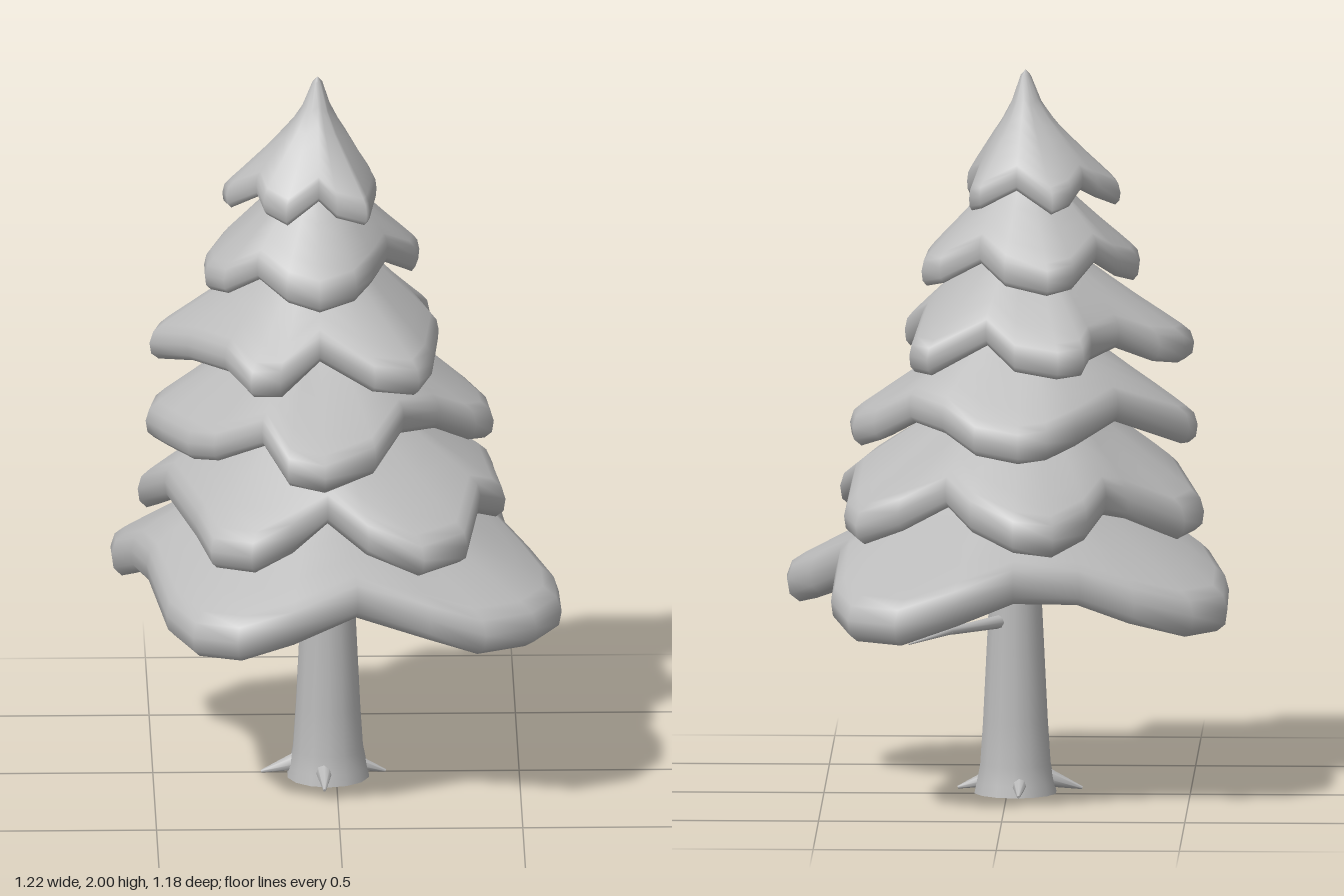
import * as THREE from 'three';

const bark = new THREE.MeshStandardMaterial({ color: 0xbababa });
bark.name = 'plain grey';
const trunkGrey = new THREE.MeshStandardMaterial({ color: 0xbababa, side: THREE.DoubleSide });
trunkGrey.name = 'plain grey open';

const CENTRE = { x: -0.05, z: 0.005 };

// Upper surface of a tier: [fraction of rim radius, fraction of height above rim]
const UPPER = [[0, 1], [0.07, 0.95], [0.2, 0.72], [0.36, 0.55], [0.52, 0.42], [0.68, 0.29], [0.82, 0.18], [0.93, 0.09], [0.98, 0.04]];
// Underside: [fraction of rim radius, blend from rim bottom to inner ceiling]
const UNDER = [[0.95, 0], [0.88, 0.08], [0.7, 0.4], [0.4, 0.8], [0, 1]];

// One skirt of foliage. Rim points are [x, z, lift] in hundredths (lift 0 = drooping lobe, 1 = raised notch).
function makeTier(name, low, high, top, thick, rim) {
  const edge = rim.map(([x, z, lift]) => {
    const dx = x / 100 - CENTRE.x, dz = z / 100 - CENTRE.z;
    const r = Math.hypot(dx, dz);
    return { r, cos: dx / r, sin: dz / r, y: low + (high - low) * lift };
  });
  const count = edge.length;
  const mean = edge.reduce((sum, p) => sum + p.r, 0) / count;

  // Rings grow rounder towards the middle
  const pos = [];
  const ring = (f, height) => edge.forEach(p => {
    const r = f * THREE.MathUtils.lerp(mean, p.r, Math.sqrt(f));
    pos.push(CENTRE.x + p.cos * r, height(p.y), CENTRE.z + p.sin * r);
  });
  UPPER.forEach(([f, h]) => ring(f, y => THREE.MathUtils.lerp(y + thick, top, h)));
  ring(1, y => y + thick * 0.75);
  ring(0.99, y => y + thick * 0.25);
  UNDER.forEach(([f, k]) => ring(f, y => THREE.MathUtils.lerp(y, low + 0.16, k)));

  const index = [];
  const rows = pos.length / 3 / count;
  for (let j = 0; j < rows - 1; j++) {
    for (let i = 0; i < count; i++) {
      const a = j * count + i, b = j * count + (i + 1) % count;
      if (j > 0) index.push(a, b, a + count);
      if (j < rows - 2) index.push(b, b + count, a + count);
    }
  }
  const geo = new THREE.BufferGeometry();
  geo.setAttribute('position', new THREE.Float32BufferAttribute(pos, 3));
  geo.setIndex(index);
  geo.computeVertexNormals();
  const mesh = new THREE.Mesh(geo, bark);
  mesh.name = name;
  return mesh;
}

// Tapered spike running from a base point to a tip
function makeSpike(name, from, to, radius, tipRadius) {
  const dir = to.clone().sub(from);
  const mesh = new THREE.Mesh(new THREE.CylinderGeometry(tipRadius, radius, dir.length(), 8), bark);
  mesh.name = name;
  mesh.position.copy(from).add(to).multiplyScalar(0.5);
  mesh.quaternion.setFromUnitVectors(new THREE.Vector3(0, 1, 0), dir.normalize());
  return mesh;
}

export function createModel() {
  const tree = new THREE.Group();
  tree.name = 'pineTree';

  // Trunk with a flared foot, open underneath
  const profile = [[0.114, 0], [0.108, 0.03], [0.098, 0.08], [0.09, 0.2], [0.08, 0.4], [0.07, 0.6], [0.06, 0.8]];
  const trunk = new THREE.Mesh(new THREE.LatheGeometry(profile.map(p => new THREE.Vector2(...p)), 14), trunkGrey);
  trunk.name = 'trunk';
  trunk.position.set(-0.022, 0, 0.025);
  tree.add(trunk);

  // Four root spikes around the foot
  for (let i = 0; i < 4; i++) {
    const a = i * Math.PI / 2;
    const at = (r, y) => new THREE.Vector3(-0.035 + Math.cos(a) * r, y, 0.03 + Math.sin(a) * r);
    tree.add(makeSpike('root', at(0.07, 0.042), at(0.17, 0.012), 0.027, 0.004));
  }

  // Bare twig below the foliage
  tree.add(makeSpike('twig', new THREE.Vector3(0, 0.48, -0.01), new THREE.Vector3(0.15, 0.475, -0.17), 0.02, 0.011));
  tree.add(makeSpike('twigTip', new THREE.Vector3(0.148, 0.476, -0.168), new THREE.Vector3(0.26, 0.455, -0.28), 0.011, 0.002));

  // Foliage, lowest tier first
  tree.add(makeTier('foliageTier1', 0.495, 0.6, 1.08, 0.08, [
    [-61, -29, 0], [-52, -40, 0], [-36, -44, 0.4], [-21, -45, 0.9], [-3, -51, 1], [13, -58, 0.5], [29, -59, 0],
    [42, -51, 0], [47, -37, 0.3], [46, -20, 1], [46, -10, 1], [54, 2, 0.5], [60.5, 15, 0.1], [61, 30, 0], [54, 44, 0],
    [40, 51, 0], [25, 50, 0.4], [5, 50, 1], [-13, 58, 0.5], [-28, 59, 0.1], [-40, 51, 0], [-47, 38, 0.2],
    [-52, 12, 0.8], [-56, 0, 0.8], [-61, -13, 0.3]]));
  tree.add(makeTier('foliageTier2', 0.73, 0.84, 1.28, 0.07, [
    [-14, -52, 0], [-3, -51, 0.1], [9, -42, 0.5], [16, -33, 1], [29, -32.5, 0.4], [40.5, -29, 0], [44, -18, 0.1],
    [42, -3, 0.9], [46, 14, 0.4], [39, 24, 0.8], [35, 45, 0.1], [23, 54, 0], [8, 48, 0.4], [-3, 40, 1], [-13, 46, 0.4],
    [-24, 50, 0], [-35, 45, 0], [-39, 31, 0.3], [-47, 10, 0.8], [-54, -7, 0.1], [-49, -17, 0], [-34, -23, 0.6],
    [-28, -31, 0.8], [-23, -41, 0.3]]));
  tree.add(makeTier('foliageTier3', 0.97, 1.07, 1.46, 0.065, [
    [-12, -39, 0.1], [-4, -40, 0], [8, -38, 0.2], [17, -30, 0.7], [26, -23, 0.9], [36, -16, 0.3], [42, -7, 0],
    [43, 4, 0], [38, 12, 0.2], [28, 17, 0.7], [18, 31, 1], [10, 46, 0.3], [-4, 54, 0], [-14, 50, 0.1], [-21, 39, 0.9],
    [-34, 33, 0.3], [-41, 25, 0.1], [-48, 13, 0.1], [-52, 2, 0], [-50, -7, 0.1], [-31, -20, 0.9], [-20, -33, 0.4]]));
  tree.add(makeTier('foliageTier4', 1.2, 1.28, 1.67, 0.06, [
    [-15, -37, 0], [-3, -34, 0.2], [5, -28, 1], [21, -30.5, 0], [26, -24, 0], [23, -4, 0.9], [28, 3, 0.4],
    [26, 25, 0.1], [22, 38, 0], [10, 37, 0.1], [-5, 32, 1], [-16, 39, 0], [-24, 39, 0], [-31, 28, 0.5], [-41, 15, 0.4],
    [-51, 3, 0], [-49, -5, 0], [-42, -13, 0.2], [-31, -15, 0.7], [-24, -28, 0.5], [-22, -35, 0.1]]));
  tree.add(makeTier('foliageTier5', 1.42, 1.49, 1.84, 0.055, [
    [-12, -30, 0], [0, -26, 0.3], [7, -17, 1], [18, -16, 0.2], [23, -12, 0], [22, -1, 0.2], [14, 6, 0.9],
    [10, 18, 0.6], [5, 26, 0.2], [-5, 32, 0], [-14, 27, 0.2], [-22, 21, 0.9], [-31, 18, 0.2], [-36, 10, 0],
    [-36, 0, 0], [-31, -11, 0.4], [-25, -15, 1], [-19, -27, 0.2]]));
  tree.add(makeTier('foliageCrown', 1.63, 1.69, 2, 0.045, [
    [-13, -20, 0], [-3, -16, 1], [7, -17, 0.2], [10, -13, 0], [8, -5, 0.8], [11, 3, 0.4], [9, 16, 0], [8, 19, 0],
    [0, 18, 0.3], [-5, 16, 1], [-14, 19, 0], [-20, 14, 0.3], [-22, 9, 0.9], [-30, 4, 0.1], [-31, -1, 0],
    [-25, -7, 0.5], [-21, -10, 0.9], [-18, -17, 0.3]]));
  return tree;
}
